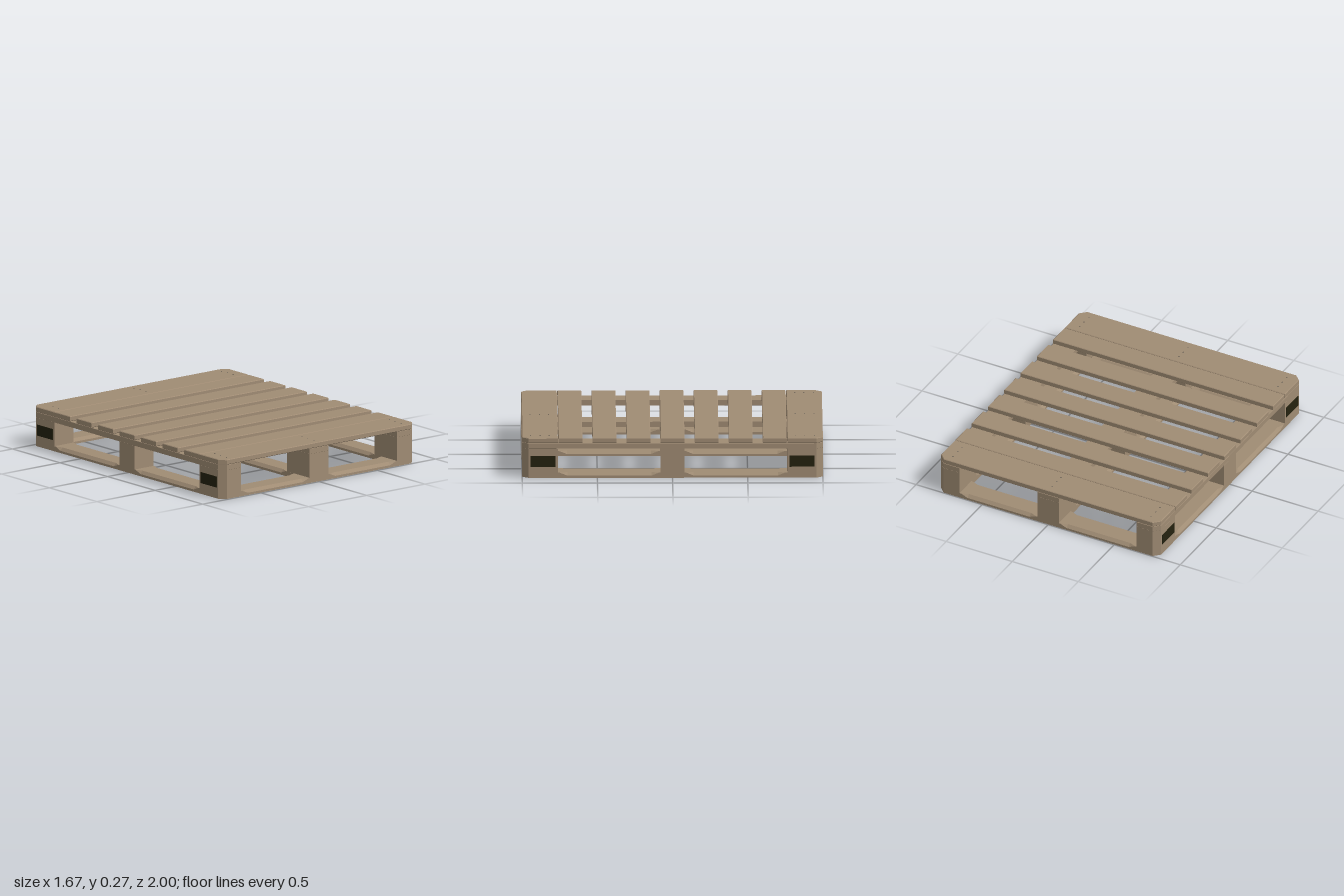
import * as THREE from 'three';

const X = 0.833, Z = 1, CUT = 0.042;
const wood = new THREE.MeshStandardMaterial({ color: 0xa08c74 });
wood.name = 'wood';
const ink = new THREE.MeshStandardMaterial({ color: 0x24220f });
ink.name = 'dark stamp';
const steel = new THREE.MeshStandardMaterial({ color: 0x55524c });
steel.name = 'nail steel';

// Flat slab between two plan corners; corners on the pallet's outer corners are cut off
function slab(name, x0, x1, z0, z1, y0, y1, bevel = 0.004) {
  const pts = [];
  const corners = [[x0, z0, 0], [x1, z0, 1], [x1, z1, 0], [x0, z1, 1]];
  for (const [x, z, alongX] of corners) {
    if (Math.abs(x) > X - 0.01 && Math.abs(z) > Z - 0.01) {
      const a = [x - Math.sign(x) * CUT, z], b = [x, z - Math.sign(z) * CUT];
      pts.push(...(alongX ? [a, b] : [b, a]));
    } else pts.push([x, z]);
  }
  const shape = new THREE.Shape(pts.map(([x, z]) => new THREE.Vector2(x, -z)));
  const geo = new THREE.ExtrudeGeometry(shape, {
    depth: y1 - y0 - 2 * bevel, bevelEnabled: bevel > 0, bevelSegments: 1,
    bevelSize: bevel, bevelThickness: bevel, bevelOffset: -bevel,
  });
  geo.rotateX(-Math.PI / 2).translate(0, y0 + bevel, 0);
  const mesh = new THREE.Mesh(geo, wood);
  mesh.name = name;
  return mesh;
}

// Bottom board along x, lofted from sections: [position, top chamfer, outer corner cut]
function bottomBoard(name, stations, w, h) {
  const rings = stations.map(([x, c, cut]) => [
    [x, 0, -w / 2], [x, 0, w / 2 - cut], [x, h - c, w / 2 - cut],
    [x, h, w / 2 - cut - c], [x, h, -w / 2 + c], [x, h - c, -w / 2],
  ]);
  const pos = [];
  const tri = (a, b, c) => pos.push(...a, ...b, ...c);
  for (let s = 0; s < rings.length - 1; s++) {
    const p = rings[s], q = rings[s + 1];
    for (let i = 0; i < 6; i++) {
      const j = (i + 1) % 6;
      tri(p[i], q[i], q[j]);
      tri(p[i], q[j], p[j]);
    }
  }
  const first = rings[0], last = rings[rings.length - 1];
  for (let i = 1; i < 5; i++) {
    tri(first[0], first[i], first[i + 1]);
    tri(last[0], last[i + 1], last[i]);
  }
  const geo = new THREE.BufferGeometry();
  geo.setAttribute('position', new THREE.Float32BufferAttribute(pos, 3));
  geo.computeVertexNormals();
  const mesh = new THREE.Mesh(geo, wood);
  mesh.name = name;
  return mesh;
}

// Mirror a half list of stations to both ends
const symmetric = (half) => [
  ...half.map(([x, c, k]) => [-x, c, k]).reverse(), ...half,
];

export function createModel() {
  const pallet = new THREE.Group();
  pallet.name = 'pallet';
  const yBase = 0.003, yBoard = 0.038, yBlock = 0.2, yRail = 0.237, yTop = 0.272;
  const columns = [[-X, -0.67], [-0.081, 0.081], [0.67, X]];
  const rows = [[-Z, -0.763], [-0.081, 0.081], [0.763, Z]];

  // Top deck: two wide end boards and seven narrow ones
  for (const [z0, z1] of [rows[0], rows[2]]) {
    pallet.add(slab('endDeckBoard', -X, X, z0, z1, yRail, yTop));
  }
  for (let i = -3; i <= 3; i++) {
    const z = i * 0.2265;
    pallet.add(slab('deckBoard', -X, X, z - 0.08, z + 0.08, yRail, yTop));
  }

  // Rails under the deck, and three blocks under each rail
  for (const [x0, x1] of columns) {
    pallet.add(slab('rail', x0, x1, -Z, Z, yBlock, yRail, 0.001));
    for (const [z0, z1] of rows) {
      pallet.add(slab('block', x0, x1, z0, z1, yBoard, yBlock, 0));
    }
  }

  // Bottom frame: end boards, side boards and centre board, chamfered between blocks
  const w = 0.163, h = yBoard - yBase, c = 0.02;
  const endStations = symmetric([
    [0.09, 0, 0], [0.14, c, 0], [0.61, c, 0], [0.66, 0, 0], [X - CUT, 0, 0], [X, 0, CUT],
  ]);
  const sideStations = symmetric([
    [0.09, 0, 0], [0.14, c, 0], [0.7, c, 0], [0.75, 0, 0], [Z - w, 0, 0],
  ]);
  for (const s of [1, -1]) {
    const end = bottomBoard('bottomEndBoard', endStations, w, h);
    end.position.set(0, yBase, s * (Z - w / 2));
    end.rotation.y = s > 0 ? 0 : Math.PI;
    pallet.add(end);
  }
  for (const s of [-1, 0, 1]) {
    const side = bottomBoard(s ? 'bottomSideBoard' : 'bottomCentreBoard', sideStations, w, h);
    side.position.set(s * (X - w / 2), yBase, 0);
    side.rotation.y = s < 0 ? -Math.PI / 2 : Math.PI / 2;
    pallet.add(side);
  }

  // Plain dark stamps on the outer sides of the corner blocks
  for (const sx of [1, -1]) for (const sz of [1, -1]) {
    const stamp = new THREE.Mesh(new THREE.BoxGeometry(0.004, 0.075, 0.166), ink);
    stamp.name = 'stamp';
    stamp.position.set(sx * (X + 0.001), 0.115, sz * 0.861);
    pallet.add(stamp);
  }

  // Nail heads on the deck ends and under the frame
  const nailGeo = new THREE.CylinderGeometry(0.004, 0.004, 0.003, 8);
  const nail = (x, y, z) => {
    const head = new THREE.Mesh(nailGeo, steel);
    head.name = 'nailHead';
    head.position.set(x, y, z);
    pallet.add(head);
  };
  for (const sx of [-1, 0, 1]) {
    for (const sz of [-1, 1]) {
      [0.82, 0.88, 0.945].forEach((z) => nail(sx * 0.75, yTop, sz * z));
    }
    for (const sz of [-1, 0, 1]) {
      for (const k of [-1, 0, 1]) nail(sx * 0.75 + k * 0.027, 0.0015, sz * 0.91 + k * 0.03);
    }
  }
  return pallet;
}
